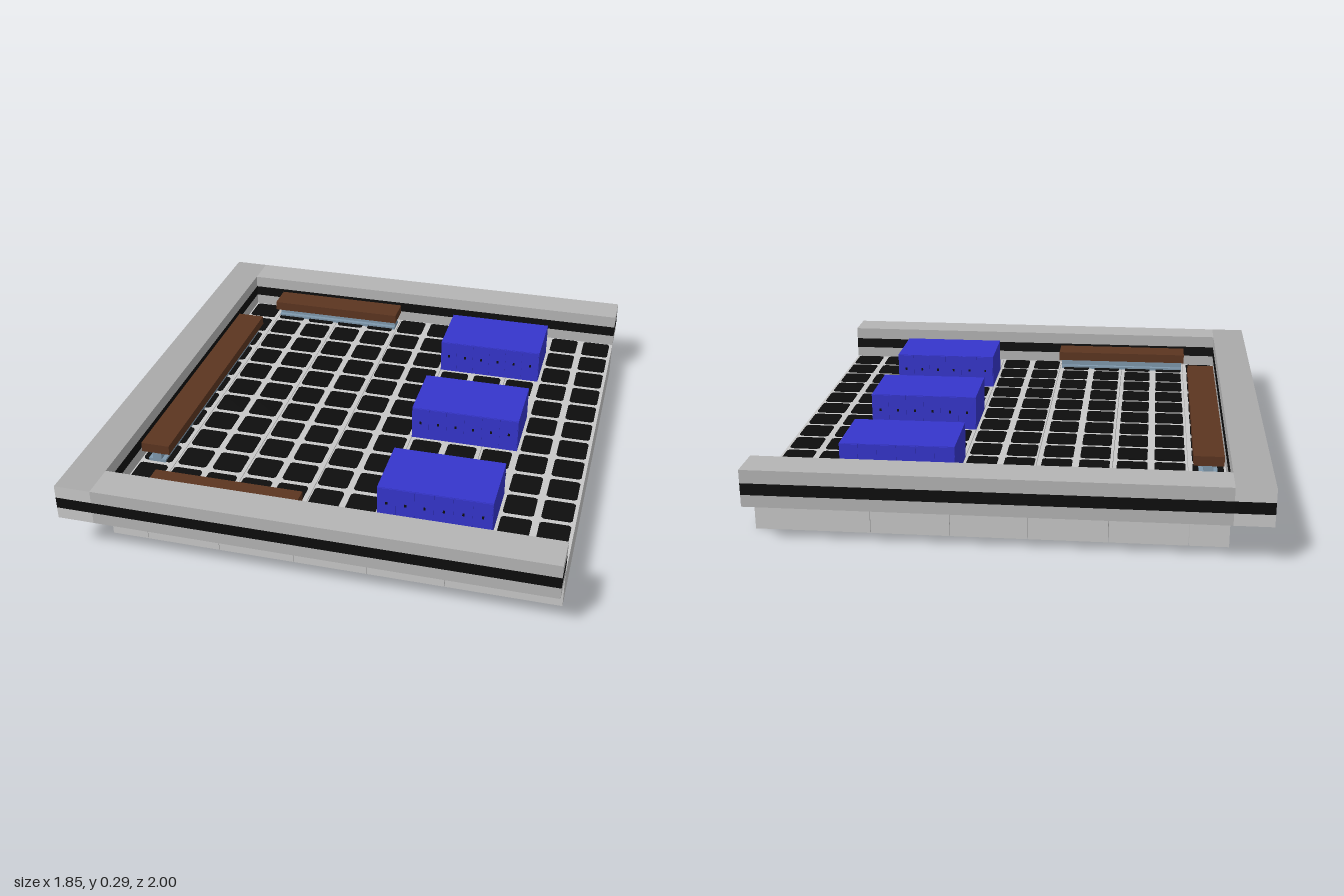
import * as THREE from 'three';

const mat = (name, color, extra) => Object.assign(new THREE.MeshStandardMaterial({ color, ...extra }), { name });

export function createModel() {
  const root = new THREE.Group();
  root.name = 'courtyardPlatform';
  const paleStone = mat('paleStone', 0xc8c8c8);
  const wallStone = mat('wallStone', 0xb4b4b4);
  const sideStone = mat('sideStone', 0xaaaaaa);
  const black = mat('black', 0x0d0d0d);
  const wood = mat('brownWood', 0x5c3520);
  const steel = mat('blueSteel', 0x7f99ad);
  const blue = mat('blue', 0x3535cc);

  // box given by its limits along each axis
  const box = (parent, name, m, x0, x1, y0, y1, z0, z1) => {
    const mesh = new THREE.Mesh(new THREE.BoxGeometry(x1 - x0, y1 - y0, z1 - z0), m);
    mesh.position.set((x0 + x1) / 2, (y0 + y1) / 2, (z0 + z1) / 2);
    mesh.name = name;
    parent.add(mesh);
    return mesh;
  };
  const group = (name) => {
    const g = new THREE.Group();
    g.name = name;
    root.add(g);
    return g;
  };

  // base made of slabs with narrow seams
  const base = group('base');
  const seams = [-0.787, -0.645, -0.36, -0.07, 0.21, 0.5, 0.925];
  for (let i = 0; i < 6; i++) {
    box(base, 'baseSlab', paleStone, seams[i] + (i ? 0.001 : 0), seams[i + 1] - (i < 5 ? 0.001 : 0), 0, 0.147, -0.858, 0.858);
  }

  // three layered walls; end faces are pale stone
  const layers = [[0.147, 0.192], [0.192, 0.236], [0.236, 0.286]];
  const walls = group('walls');
  layers.forEach(([y0, y1], i) => {
    const dark = i === 1;
    const longFaces = dark ? black : [paleStone, paleStone, wallStone, wallStone, wallStone, wallStone];
    const sideFaces = dark ? black : [wallStone, wallStone, sideStone, sideStone, paleStone, paleStone];
    const part = dark ? 'Stripe' : 'Wall';
    box(walls, 'front' + part, longFaces, -0.787, 0.925, y0, y1, 0.86, 1);
    box(walls, 'back' + part, longFaces, -0.787, 0.925, y0, y1, -1, -0.86);
    box(walls, 'side' + part, sideFaces, -0.927, -0.787, y0, y1, -1, 1);
  });

  // floor tiles with clipped corners
  const h = 0.058, c = 0.009;
  const outline = new THREE.Shape([
    [-h + c, -h], [h - c, -h], [h, -h + c], [h, h - c],
    [h - c, h], [-h + c, h], [-h, h - c], [-h, -h + c],
  ].map(([x, y]) => new THREE.Vector2(x, y)));
  const tileGeometry = new THREE.ExtrudeGeometry(outline, { depth: 0.005, bevelEnabled: false });
  tileGeometry.rotateX(-Math.PI / 2);
  const tiles = group('floorTiles');
  for (let i = 0; i < 12; i++) {
    for (let j = 0; j < 12; j++) {
      const tile = new THREE.Mesh(tileGeometry, black);
      tile.name = 'floorTile';
      tile.position.set(-0.72 + i * 0.1431, 0.147, -0.788 + j * 0.1431);
      tiles.add(tile);
    }
  }

  // benches on a continuous steel rail, built along x
  const bench = (name, length, x, z, turn) => {
    const g = group(name);
    const l = length / 2;
    box(g, 'seat', wood, -l, l, 0.193, 0.231, -0.057, 0.057);
    box(g, 'railFoot', steel, -l + 0.01, l - 0.01, 0.147, 0.16, -0.035, 0.035);
    box(g, 'railStem', steel, -l + 0.01, l - 0.01, 0.16, 0.185, -0.018, 0.018);
    box(g, 'railHead', steel, -l + 0.01, l - 0.01, 0.185, 0.193, -0.026, 0.026);
    g.position.set(x, 0, z);
    g.rotation.y = turn;
  };
  bench('backBench', 0.58, -0.358, -0.787, 0);
  bench('frontBench', 0.58, -0.358, 0.787, 0);
  bench('sideBench', 1.144, -0.718, 0, Math.PI / 2);

  // blue cabinets with panelled long sides and small knobs
  for (const z of [-0.572, 0, 0.572]) {
    const g = group('cabinet');
    box(g, 'cabinetBody', blue, -0.215, 0.215, 0.147, 0.286, -0.134, 0.134);
    const w = 0.43 / 6;
    for (const s of [-1, 1]) {
      for (let i = 0; i < 6; i++) {
        const x = -0.215 + i * w;
        box(g, 'cabinetPanel', blue, x + 0.002, x + w - 0.002, 0.149, 0.284, s * 0.1355 - 0.0015, s * 0.1355 + 0.0015);
        box(g, 'knob', black, x + w / 2 - 0.004, x + w / 2 + 0.004, 0.216, 0.226, s * 0.138 - 0.002, s * 0.138 + 0.002);
      }
    }
    g.position.set(0.425, 0, z);
  }
  return root;
}
